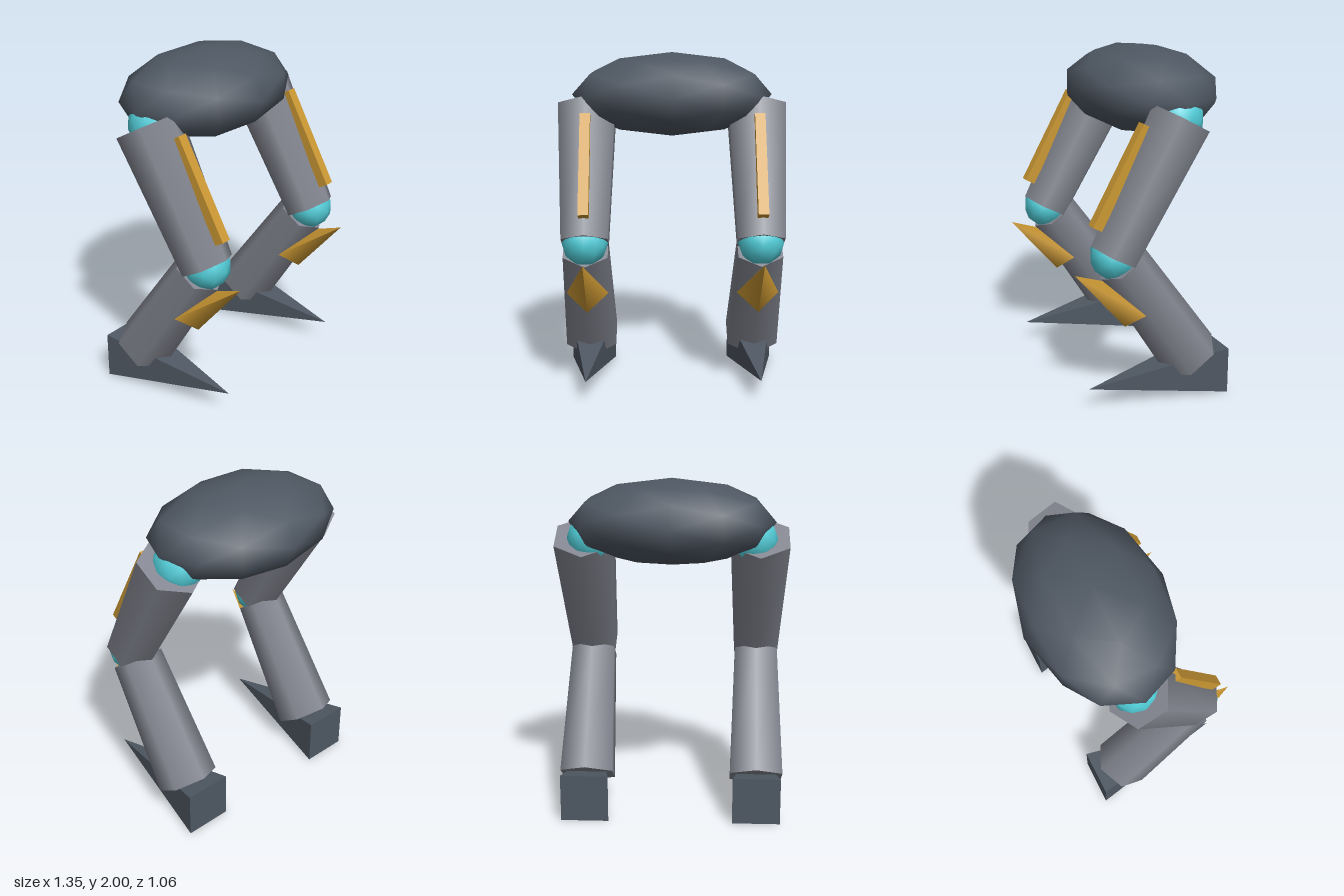
import * as THREE from 'three';

const paint = (name, color) => {
  const m = new THREE.MeshStandardMaterial({ color });
  m.name = name;
  return m;
};

export function createModel() {
  const dark = paint('darkSteel', 0x4f5863);
  const grey = paint('greyMetal', 0x82858f);
  const gold = paint('goldTrim', 0xcb9833);
  const cyan = paint('cyanJoint', 0x50cbd6);

  const model = new THREE.Group();
  model.name = 'walkerLegs';

  const add = (parent, name, geometry, material, x, y, z) => {
    const mesh = new THREE.Mesh(geometry, material);
    mesh.name = name;
    mesh.position.set(x, y, z);
    parent.add(mesh);
    return mesh;
  };

  // Tapered limb between two [y, z] points in the leg's own plane
  const limb = (parent, name, top, bottom, rTop, rBottom, sides, material) => {
    const dy = top[0] - bottom[0], dz = top[1] - bottom[1];
    const geometry = new THREE.CylinderGeometry(rTop, rBottom, Math.hypot(dy, dz), sides);
    const mesh = add(parent, name, geometry, material,
      0, (top[0] + bottom[0]) / 2, (top[1] + bottom[1]) / 2);
    mesh.rotation.x = Math.atan2(dz, dy);
    return mesh;
  };

  // Faceted ellipsoid pelvis
  add(model, 'pelvis', new THREE.IcosahedronGeometry(1, 1), dark, 0, 1.75, -0.117)
    .scale.set(0.6, 0.25, 0.4125);

  for (const side of [1, -1]) {
    const leg = new THREE.Group();
    leg.name = side > 0 ? 'leftLeg' : 'rightLeg';
    leg.position.x = side * 0.508;
    model.add(leg);

    // Joints
    add(leg, 'hipJoint', new THREE.IcosahedronGeometry(0.15, 1), cyan, -side * 0.045, 1.65, -0.113);
    add(leg, 'kneeJoint', new THREE.IcosahedronGeometry(0.135, 1), cyan, 0, 0.93, 0.295);

    // Six-sided thigh and shin
    limb(leg, 'thigh', [1.662, -0.112], [0.93, 0.295], 0.195, 0.155, 6, grey);
    limb(leg, 'shin', [0.885, 0.244], [0.225, -0.2], 0.15, 0.18, 6, grey);

    // Gold bar along the front of the thigh
    const bar = add(leg, 'thighBar', new THREE.BoxGeometry(0.06, 0.62, 0.06), gold, 0, 1.375, 0.252);
    bar.rotation.x = -0.51;

    // Four-sided spike below the knee
    const spike = new THREE.ConeGeometry(0.125, 0.455, 4);
    const guard = add(leg, 'kneeSpike', spike, gold, 0, 0.72, 0.34);
    guard.rotation.x = Math.atan2(0.375, 0.26);

    // Wedge foot: square pyramid pointing forward
    const wedge = new THREE.ConeGeometry(0.141 * Math.SQRT2, 0.835, 4)
      .rotateY(Math.PI / 4)
      .rotateX(Math.PI / 2)
      .toNonIndexed();
    wedge.computeVertexNormals();
    add(leg, 'foot', wedge, dark, 0, 0.142, 0.033);
  }

  return model;
}
